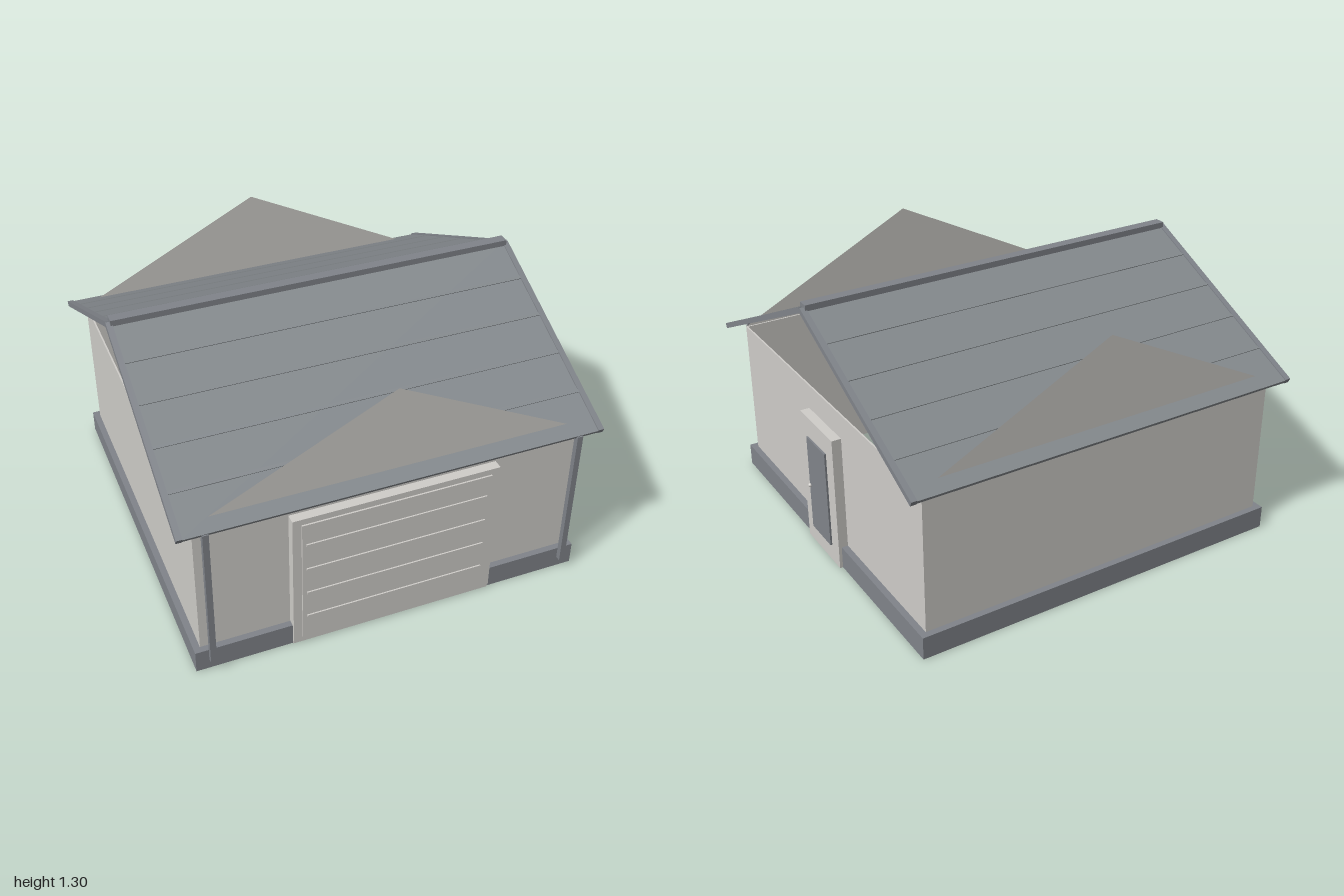
import * as THREE from 'three';

export function createModel() {
  const mat = (name, color, extra = {}) => {
    const m = new THREE.MeshStandardMaterial({ color, ...extra });
    m.name = name;
    return m;
  };
  const wallMat = mat('warm grey wall', 0xcfcdc9, { side: THREE.DoubleSide });
  const trimMat = mat('slate trim', 0x80848a);
  const roofMat = mat('roof grey', 0x858a8e);

  const model = new THREE.Group();
  model.name = 'garage';

  // Box given by its min and max corners
  const box = (name, m, [x0, y0, z0], [x1, y1, z1], parent = model) => {
    const mesh = new THREE.Mesh(new THREE.BoxGeometry(x1 - x0, y1 - y0, z1 - z0), m);
    mesh.position.set((x0 + x1) / 2, (y0 + y1) / 2, (z0 + z1) / 2);
    mesh.name = name;
    parent.add(mesh);
    return mesh;
  };

  // Walls and plinth: open-bottomed rings of four boxes
  const ring = (name, m, half, t, h) => {
    for (const s of [-1, 1]) {
      const a = s * half, b = s * (half - t);
      const lo = Math.min(a, b), hi = Math.max(a, b);
      box(name, m, [-half, 0, lo], [half, h, hi]);
      box(name, m, [lo, 0, -half + t], [hi, h, half - t]);
    }
  };
  ring('wall', wallMat, 0.918, 0.008, 0.812);
  ring('plinth', trimMat, 0.95, 0.031, 0.112);

  // Flat gables standing on the front and back walls
  const tri = new THREE.Shape([
    new THREE.Vector2(-0.918, 0.812), new THREE.Vector2(0.918, 0.812), new THREE.Vector2(0, 1.27),
  ]);
  for (const s of [-1, 1]) {
    const gable = new THREE.Mesh(new THREE.ShapeGeometry(tri), wallMat);
    gable.position.z = s * 0.918;
    gable.name = 'gable';
    model.add(gable);
  }

  // Garage door: frame, panel and horizontal slats
  box('garageDoorSill', wallMat, [-0.493, 0, 0.91], [0.493, 0.02, 0.955]);
  box('garageDoorFrame', wallMat, [-0.493, 0.02, 0.91], [0.493, 0.74, 0.964]);
  box('garageDoorPanel', wallMat, [-0.452, 0.04, 0.95], [0.452, 0.71, 0.972]);
  for (const y of [0.173, 0.315, 0.456, 0.597]) {
    box('garageDoorSlat', wallMat, [-0.433, y - 0.006, 0.96], [0.433, y + 0.006, 0.979]);
  }

  // Side door with frame and knob
  box('sideDoorFrame', wallMat, [0.91, 0, -0.17], [0.965, 0.687, 0.17]);
  box('sideDoor', trimMat, [0.95, 0.09, -0.097], [0.974, 0.585, 0.097]);
  const knob = new THREE.Mesh(new THREE.SphereGeometry(0.01, 16, 10), wallMat);
  knob.position.set(0.976, 0.325, 0.09);
  knob.name = 'doorKnob';
  model.add(knob);

  // Downspouts at the front corners
  for (const s of [-1, 1]) {
    box('downspout', trimMat, [s * 0.877 - 0.014, 0.068, 0.962], [s * 0.877 + 0.014, 0.815, 0.988]);
  }

  // Roof slopes: local z runs down from the ridge to the eave
  const run = 0.98, drop = 0.458;
  const len = Math.hypot(run, drop), perRun = len / run;
  for (const s of [1, -1]) {
    const pitch = new THREE.Group();
    pitch.name = s > 0 ? 'frontRoofSlope' : 'backRoofSlope';
    pitch.rotation.x = Math.atan2(drop, run);
    box('roofPanel', roofMat, [-0.98, -0.008, 0], [0.98, 0.008, len], pitch);
    for (let i = 1; i <= 4; i++) {
      const z = i * 0.196 * perRun;
      box('roofSeam', roofMat, [-0.972, -0.012, z - 0.008], [0.972, 0.012, z + 0.008], pitch);
    }
    for (const e of [-1, 1]) {
      box('rakeTrim', trimMat, [e * 0.986 - 0.014, -0.013, 0], [e * 0.986 + 0.014, 0.013, len], pitch);
    }
    const side = new THREE.Group();
    side.position.y = 1.27;
    if (s < 0) side.rotation.y = Math.PI;
    side.add(pitch);
    model.add(side);
  }
  box('ridgeCap', trimMat, [-0.982, 1.268, -0.026], [0.982, 1.297, 0.026]);

  model.position.z = -0.004;
  const root = new THREE.Group();
  root.add(model);
  return root;
}
